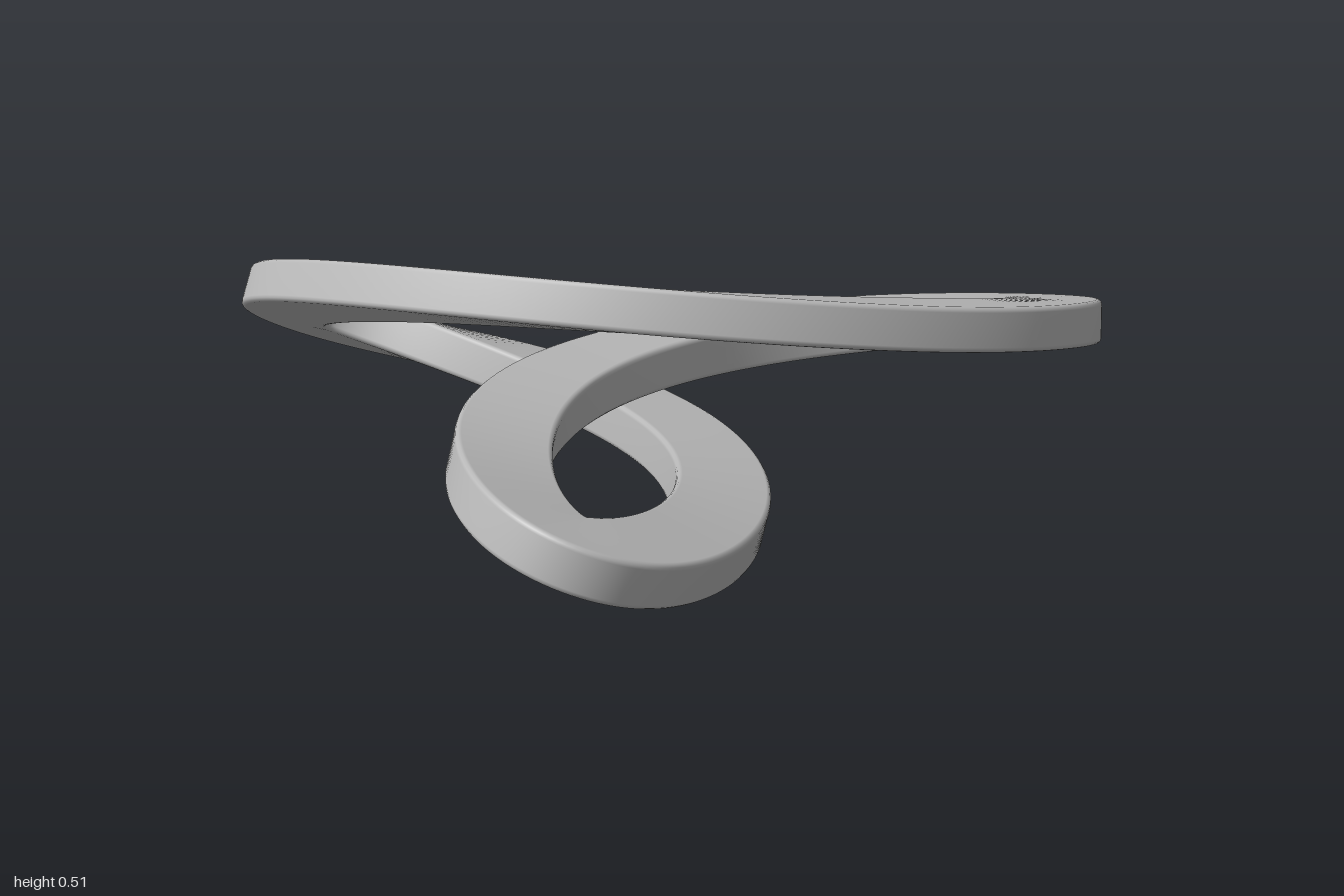
import * as THREE from 'three';

const WIDTH = 0.203, THICK = 0.1, ROUND = 0.012;
const STEPS = 360;
const BANK = 1.15; // how strongly the band leans into its bends

// Closed three-lobed loop, rising and falling as it goes round
const pathAt = (t) => new THREE.Vector3(
  0.4625 * Math.sin(t) + 0.5285 * Math.sin(2 * t) - 0.022 * Math.sin(4 * t),
  0.236 + 0.074 * Math.cos(t) + 0.0985 * Math.cos(2 * t) + 0.0105 * Math.cos(3 * t) + 0.005 * Math.cos(4 * t)
    + 0.063 * Math.sin(t) - 0.0405 * Math.sin(2 * t) - 0.0055 * Math.sin(4 * t),
  -0.233 - 0.4625 * Math.cos(t) + 0.5285 * Math.cos(2 * t) + 0.022 * Math.cos(4 * t));

// Rectangular section with slightly rounded corners, counter-clockwise
function sectionPoints() {
  const pts = [];
  const corners = [[1, 1], [-1, 1], [-1, -1], [1, -1]];
  corners.forEach(([sx, sy], k) => {
    for (let i = 0; i <= 3; i++) {
      const a = (k + i / 3) * Math.PI / 2;
      pts.push([
        sx * (WIDTH / 2 - ROUND) + ROUND * Math.cos(a),
        sy * (THICK / 2 - ROUND) + ROUND * Math.sin(a)]);
    }
  });
  return pts;
}

// Sweep the section along the path, its wide side lying in the bend of the curve
function bandGeometry() {
  const section = sectionPoints(), n = section.length;
  const pos = [], index = [], h = 0.001;
  for (let i = 0; i < STEPS; i++) {
    const t = i / STEPS * Math.PI * 2;
    const p = pathAt(t), before = pathAt(t - h), after = pathAt(t + h);
    const tangent = after.clone().sub(before).normalize();
    const normal = after.add(before).addScaledVector(p, -2);
    normal.addScaledVector(tangent, -normal.dot(tangent));
    normal.y *= BANK;
    normal.addScaledVector(tangent, -normal.dot(tangent)).normalize();
    const binormal = tangent.clone().cross(normal);
    section.forEach(([u, v], j) => {
      const q = p.clone().addScaledVector(normal, u).addScaledVector(binormal, v);
      pos.push(q.x, q.y, q.z);
      const a = i * n + j, b = i * n + (j + 1) % n;
      const c = ((i + 1) % STEPS) * n + j, d = ((i + 1) % STEPS) * n + (j + 1) % n;
      index.push(a, b, c, b, d, c);
    });
  }
  const geo = new THREE.BufferGeometry();
  geo.setAttribute('position', new THREE.Float32BufferAttribute(pos, 3));
  geo.setIndex(index);
  // Rest the band on the ground, centred
  geo.computeBoundingBox();
  const box = geo.boundingBox, mid = box.getCenter(new THREE.Vector3());
  geo.translate(-mid.x, -box.min.y, -mid.z);
  geo.computeVertexNormals();
  return geo;
}

export function createModel() {
  const group = new THREE.Group();
  group.name = 'loopedBandSculpture';
  const grey = new THREE.MeshStandardMaterial({ color: 0xb8b8b8 });
  grey.name = 'grey';
  const band = new THREE.Mesh(bandGeometry(), grey);
  band.name = 'loopedBand';
  group.add(band);
  return group;
}
